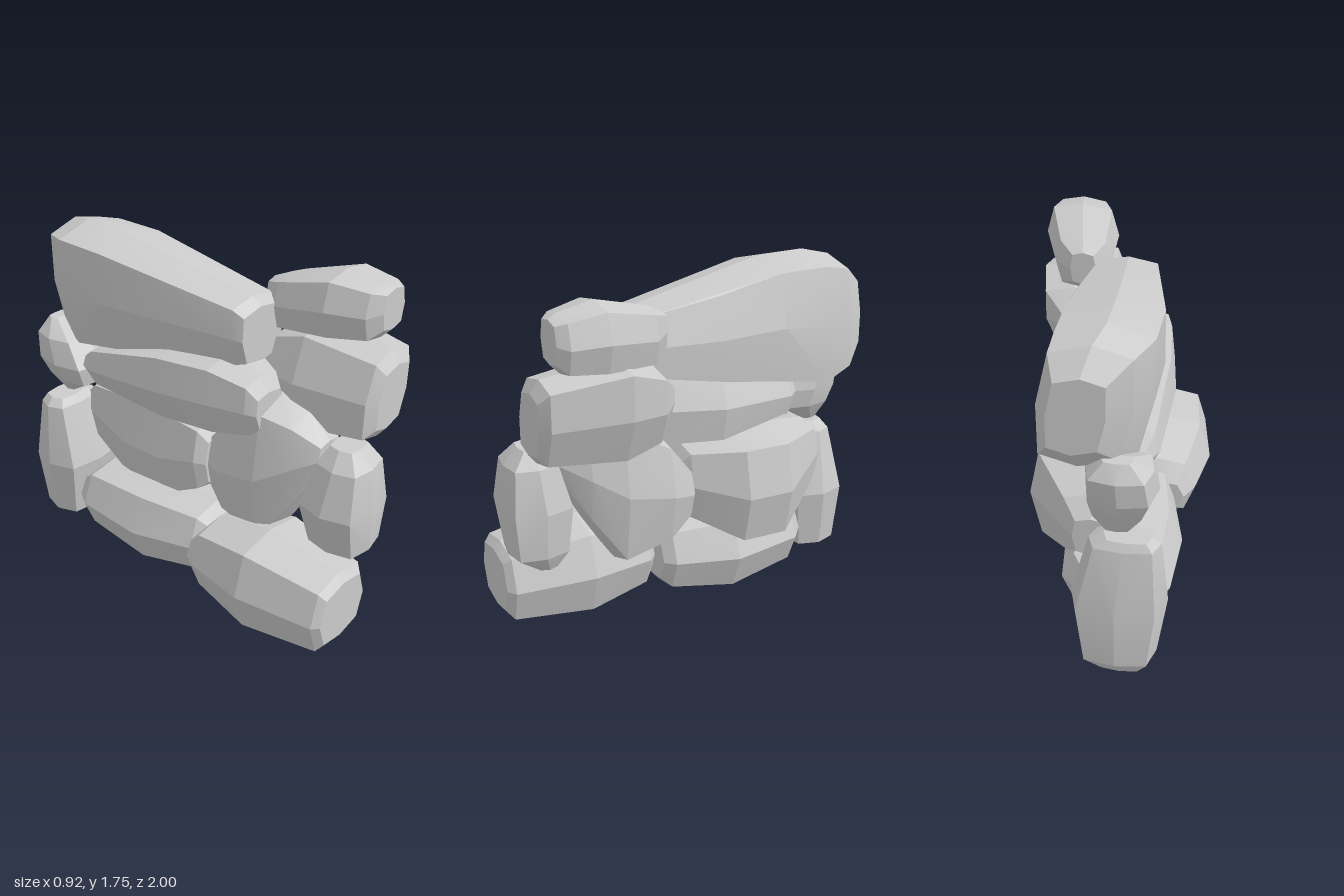
import * as THREE from 'three';
import { ConvexGeometry } from 'three/addons/geometries/ConvexGeometry.js';
import { toCreasedNormals } from 'three/addons/utils/BufferGeometryUtils.js';

const material = new THREE.MeshStandardMaterial({ color: 0xcccccc });

// A chiselled boulder lofted through eight-sided sections along its long axis.
// Each station is [position along the axis, low, high, xMin, xMax], where low and high
// run along y for a lying rock (axis 'z') and along z for an upright one (axis 'y').
// box sets how square the section is, skew shifts its high side towards +x.
function boulder(name, axis, stations, box = 0.8, skew = 0) {
  const section = [[1, 0], [box, 0.84], [0, 1], [-box, 0.84], [-1, 0], [-box, -0.84], [0, -1], [box, -0.84]];
  const points = [];
  for (const [s, low, high, xMin, xMax] of stations) {
    for (const [u, v] of section) {
      const across = v * (high - low) / 2;
      const x = (xMin + xMax) / 2 + u * (xMax - xMin) / 2 + skew * across;
      const other = (low + high) / 2 + across;
      points.push(axis === 'z' ? new THREE.Vector3(x, other, s) : new THREE.Vector3(x, s, other));
    }
  }
  const mesh = new THREE.Mesh(toCreasedNormals(new ConvexGeometry(points), 0.25), material);
  mesh.name = name;
  return mesh;
}

export function createModel() {
  const group = new THREE.Group();
  group.name = 'rockPile';
  group.add(
    // Bottom course
    boulder('frontBaseRock', 'z', [
      [0.985, 0.09, 0.4, -0.37, -0.01], [0.95, 0.04, 0.44, -0.4, 0.03], [0.55, 0, 0.5, -0.46, 0.09],
      [0.23, 0.07, 0.43, -0.4, 0.05], [0.15, 0.15, 0.33, -0.35, -0.04]], 0.76),
    boulder('middleBaseRock', 'z', [
      [0.18, 0.12, 0.37, -0.25, 0.1], [0.13, 0.06, 0.43, -0.3, 0.15], [-0.2, 0.01, 0.45, -0.38, 0.23],
      [-0.58, 0.06, 0.42, -0.36, 0.18], [-0.67, 0.13, 0.34, -0.3, 0.08]], 0.76),
    boulder('rearUprightRock', 'y', [
      [0.78, -0.92, -0.78, -0.3, -0.08], [0.74, -0.94, -0.75, -0.34, -0.01], [0.4, -1, -0.66, -0.375, 0.08],
      [0.08, -0.98, -0.71, -0.33, 0.04], [0.02, -0.95, -0.83, -0.27, -0.06]]),
    // Middle course
    boulder('frontUprightRock', 'y', [
      [1, 0.76, 0.9, -0.07, 0.1], [0.92, 0.72, 0.97, -0.14, 0.15], [0.7, 0.66, 1, -0.2, 0.19],
      [0.47, 0.69, 0.98, -0.13, 0.17], [0.39, 0.76, 0.86, -0.02, 0.13]]),
    boulder('leaningRock', 'z', [
      [0.73, 0.82, 0.98, -0.08, 0.1], [0.6, 0.58, 1.08, -0.15, 0.2], [0.44, 0.32, 1.14, -0.2, 0.26],
      [0.2, 0.4, 0.97, -0.18, 0.27], [0.06, 0.5, 0.78, -0.1, 0.2], [0.02, 0.6, 0.72, -0.05, 0.15]]),
    boulder('middleRock', 'z', [
      [0.1, 0.52, 0.8, -0.14, 0.12], [0.05, 0.47, 0.87, -0.18, 0.18], [-0.18, 0.33, 0.91, -0.2, 0.35],
      [-0.42, 0.33, 0.91, -0.2, 0.36], [-0.7, 0.5, 0.86, -0.15, 0.16], [-0.78, 0.57, 0.78, -0.1, 0.08]], 0.82),
    // Upper course
    boulder('rearSmallRock', 'y', [
      [1.21, -0.93, -0.86, -0.22, -0.08], [1.13, -0.975, -0.7, -0.3, 0], [1, -0.96, -0.61, -0.32, 0.01],
      [0.9, -0.92, -0.62, -0.28, -0.01], [0.8, -0.87, -0.79, -0.2, -0.08]]),
    boulder('lowerSlab', 'z', [
      [0.45, 0.99, 1.18, -0.19, 0.02], [0.4, 0.94, 1.25, -0.22, 0.06], [0.2, 0.89, 1.3, -0.27, 0.17],
      [-0.1, 0.88, 1.28, -0.31, 0.24], [-0.56, 0.92, 1.15, -0.29, 0.12], [-0.64, 0.97, 1.08, -0.25, 0.04]], 0.82, -0.12),
    boulder('frontShoulderRock', 'z', [
      [0.91, 1.03, 1.34, 0.11, 0.35], [0.87, 0.98, 1.4, 0.06, 0.4], [0.5, 0.94, 1.45, 0.01, 0.45],
      [0.32, 1, 1.38, 0.04, 0.42], [0.23, 1.13, 1.28, 0.12, 0.32]], 0.82, 0.2),
    // Top
    boulder('topSlab', 'z', [
      [0.33, 1.27, 1.55, -0.15, 0.15], [0.28, 1.25, 1.59, -0.17, 0.17], [-0.1, 1.17, 1.66, -0.22, 0.2],
      [-0.45, 1.12, 1.74, -0.29, 0.21], [-0.72, 1.06, 1.75, -0.28, 0.21], [-0.86, 1.13, 1.72, -0.21, 0.2],
      [-0.955, 1.25, 1.62, -0.11, 0.14]], 0.86, -0.12),
    boulder('topFrontRock', 'z', [
      [0.83, 1.47, 1.67, 0.22, 0.4], [0.78, 1.42, 1.69, 0.15, 0.44], [0.6, 1.4, 1.72, 0.08, 0.46],
      [0.33, 1.38, 1.65, 0.08, 0.36], [0.24, 1.44, 1.61, 0.14, 0.27]]),
  );
  return group;
}
